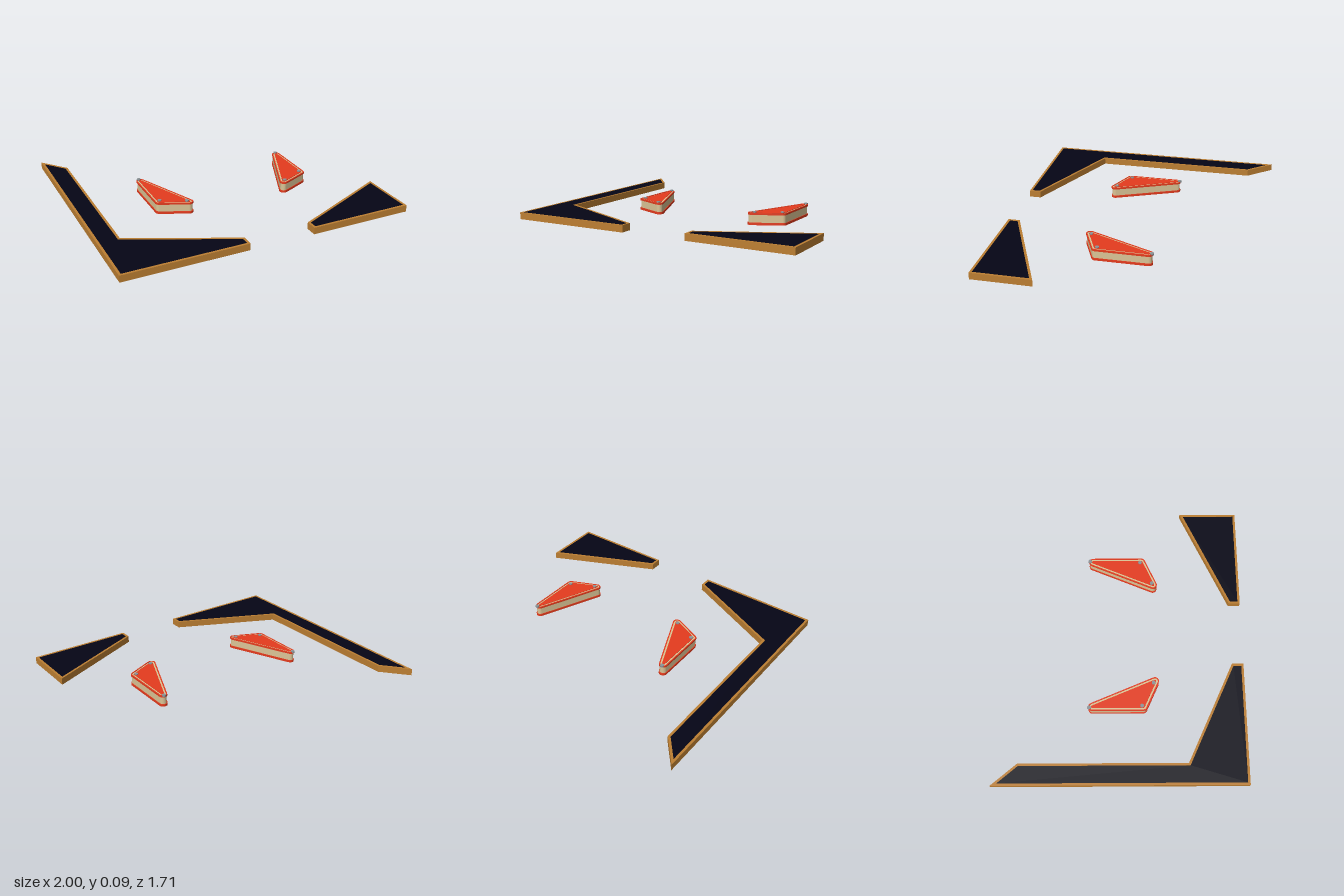
import * as THREE from 'three';

const mat = (name, color) => Object.assign(new THREE.MeshStandardMaterial({ color }), { name });

// Outlines are [x, -z] points, counter-clockwise.
function inset(pts, d) {
  return pts.map((p, i) => {
    const a = pts[(i + pts.length - 1) % pts.length], b = pts[(i + 1) % pts.length];
    const u = new THREE.Vector2(p[0] - a[0], p[1] - a[1]).normalize();
    const v = new THREE.Vector2(b[0] - p[0], b[1] - p[1]).normalize();
    const k = d / (1 + u.dot(v));
    return [p[0] - (u.y + v.y) * k, p[1] + (u.x + v.x) * k];
  });
}

// Outline swept by a disc of radius r round the corner points
function rounded(pts, r, steps = 10) {
  const out = [];
  pts.forEach((p, i) => {
    const a = pts[(i + pts.length - 1) % pts.length], b = pts[(i + 1) % pts.length];
    const start = Math.atan2(p[1] - a[1], p[0] - a[0]) - Math.PI / 2;
    let turn = Math.atan2(b[1] - p[1], b[0] - p[0]) - Math.PI / 2 - start;
    if (turn < 0) turn += Math.PI * 2;
    for (let k = 0; k <= steps; k++) {
      const t = start + turn * k / steps;
      out.push([p[0] + r * Math.cos(t), p[1] + r * Math.sin(t)]);
    }
  });
  return out;
}

// Upright slab between heights y0 and y1, optionally with a hole
function slab(name, material, outline, y0, y1, hole) {
  const vec = (pts) => pts.map(([x, y]) => new THREE.Vector2(x, y));
  const shape = new THREE.Shape(vec(outline));
  if (hole) shape.holes.push(new THREE.Path(vec(hole)));
  const geo = new THREE.ExtrudeGeometry(shape, { depth: y1 - y0, bevelEnabled: false });
  geo.rotateX(-Math.PI / 2).translate(0, y0, 0);
  const mesh = new THREE.Mesh(geo, material);
  mesh.name = name;
  return mesh;
}

export function createModel() {
  const wood = mat('wood', 0xbd7f32);
  const navy = mat('navy', 0x050516);
  const red = mat('red', 0xe63c1e);
  const cream = mat('cream', 0xdcc596);
  const steel = mat('steel', 0x8e9498);
  const model = new THREE.Group();
  model.name = 'laneGuidesAndKickers';

  // Guide walls: wooden rim around a dark panel that is recessed underneath
  const walls = {
    rightGuide: [[-1, 0.858], [-1, -0.857], [-0.163, -0.857], [-0.163, -0.777], [-0.853, -0.457], [-0.853, 0.682]],
    leftGuide: [[1, -0.449], [0.288, -0.777], [0.288, -0.857], [1, -0.857]],
  };
  for (const [name, outline] of Object.entries(walls)) {
    const wall = new THREE.Group();
    wall.name = name;
    const inner = inset(outline, 0.016);
    wall.add(slab('woodRim', wood, outline, 0, 0.046, inner));
    wall.add(slab('darkPanel', navy, inner, 0.015, 0.045));
    model.add(wall);
  }

  // Triangular kickers, hollow underneath, mirrored about x = 0.0625
  const corners = [[-0.475, 0.185], [-0.475, -0.16], [-0.296, -0.241]];
  const mirrored = corners.map(([x, y]) => [0.125 - x, y]).reverse();
  for (const [name, pts] of [['rightKicker', corners], ['leftKicker', mirrored]]) {
    const kicker = new THREE.Group();
    kicker.name = name;
    const outer = rounded(pts, 0.028), lip = rounded(pts, 0.02), plate = rounded(pts, 0.009);
    kicker.add(slab('body', cream, rounded(pts, 0.023), 0.004, 0.076, plate));
    kicker.add(slab('bottomTrim', red, outer, 0, 0.016, lip));
    kicker.add(slab('topTrim', red, outer, 0.067, 0.079, lip));
    kicker.add(slab('topPlate', red, plate, 0.069, 0.079));
    // Corner studs, set slightly off the corner centres
    const side = name === 'rightKicker' ? 1 : -1;
    pts.forEach(([x, y]) => {
      const stud = new THREE.Mesh(new THREE.CylinderGeometry(0.013, 0.013, 0.012, 16), steel);
      stud.name = 'stud';
      const dx = y > 0 ? -0.005 : y < -0.2 ? -0.012 : 0.005;
      const dz = y > 0 ? -0.022 : -0.009;
      stud.position.set(x + side * dx, 0.079, -y + dz);
      kicker.add(stud);
    });
    model.add(kicker);
  }
  return model;
}
